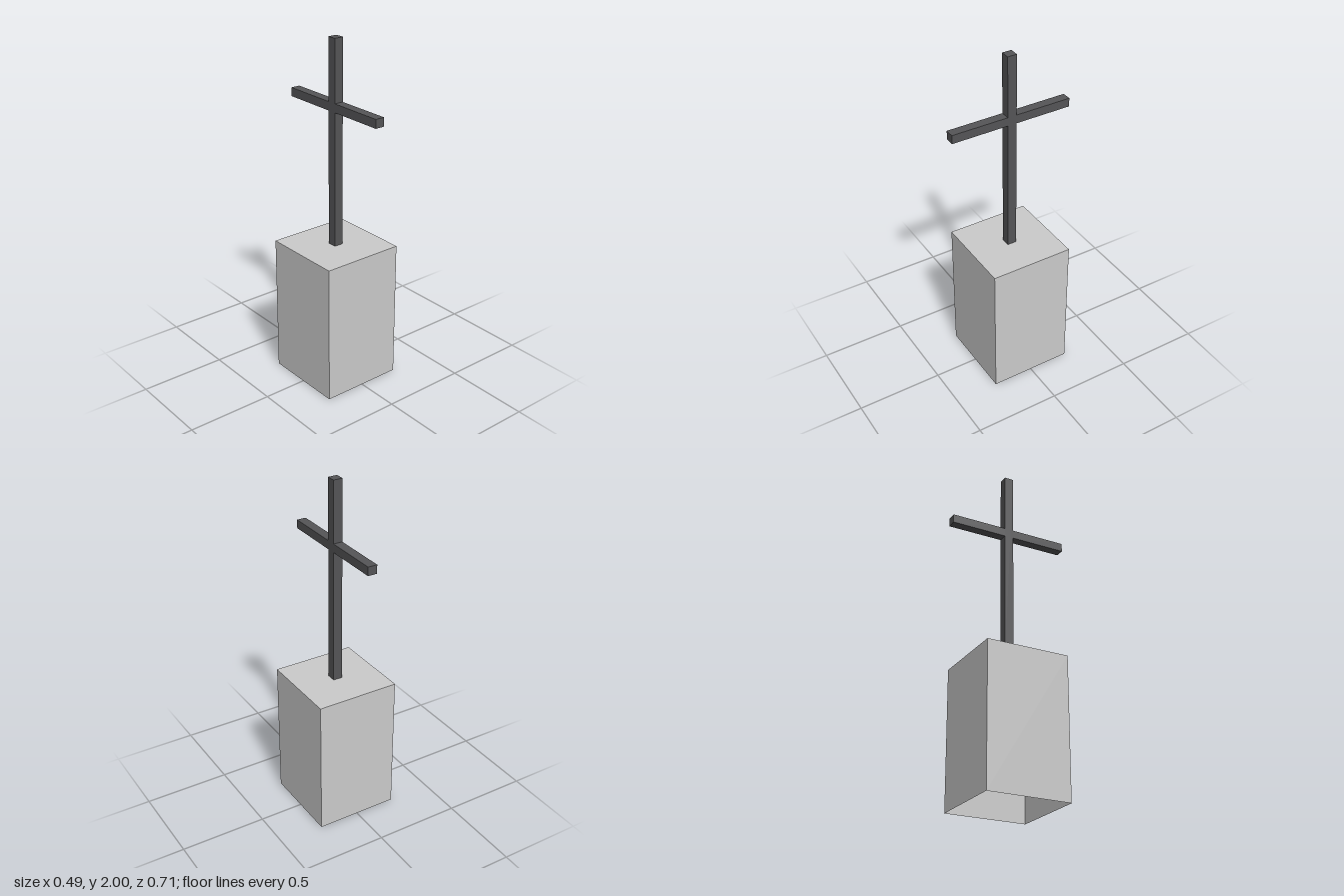
import * as THREE from 'three';

const BASE = { width: 0.485, height: 0.815 };
const BAR = 0.054;                       // square section of the cross timbers
const TOP = 2, ARM_Y = 1.624, ARM_END = 0.356;

export function createModel() {
  const model = new THREE.Group();
  const stone = new THREE.MeshStandardMaterial({ color: 0xcccccc, flatShading: true, side: THREE.DoubleSide });
  const dark = new THREE.MeshStandardMaterial({ color: 0x555557, flatShading: true });

  const add = (parent, name, geometry, material, x, y, z) => {
    const mesh = new THREE.Mesh(geometry, material);
    mesh.name = name;
    mesh.position.set(x, y, z);
    parent.add(mesh);
  };

  // Hollow pedestal: a box whose underside (fourth face) is left out
  const shell = new THREE.BoxGeometry(BASE.width, BASE.height, BASE.width);
  const faces = Array.from(shell.index.array);
  faces.splice(18, 6);
  shell.setIndex(faces);
  shell.clearGroups();
  add(model, 'pedestal', shell, stone, 0, BASE.height / 2, 0);

  // Cross: one post, with an arm butted against its front and back
  const cross = new THREE.Group();
  cross.name = 'cross';
  model.add(cross);
  const postHeight = TOP - BASE.height;
  add(cross, 'post', new THREE.BoxGeometry(BAR, postHeight, BAR), dark, 0, BASE.height + postHeight / 2, 0);

  const armLength = ARM_END - BAR / 2;
  for (const [name, side] of [['frontArm', 1], ['backArm', -1]]) {
    add(cross, name, new THREE.BoxGeometry(BAR, 0.05, armLength), dark, 0, ARM_Y, side * (BAR + armLength) / 2);
  }

  return model;
}
